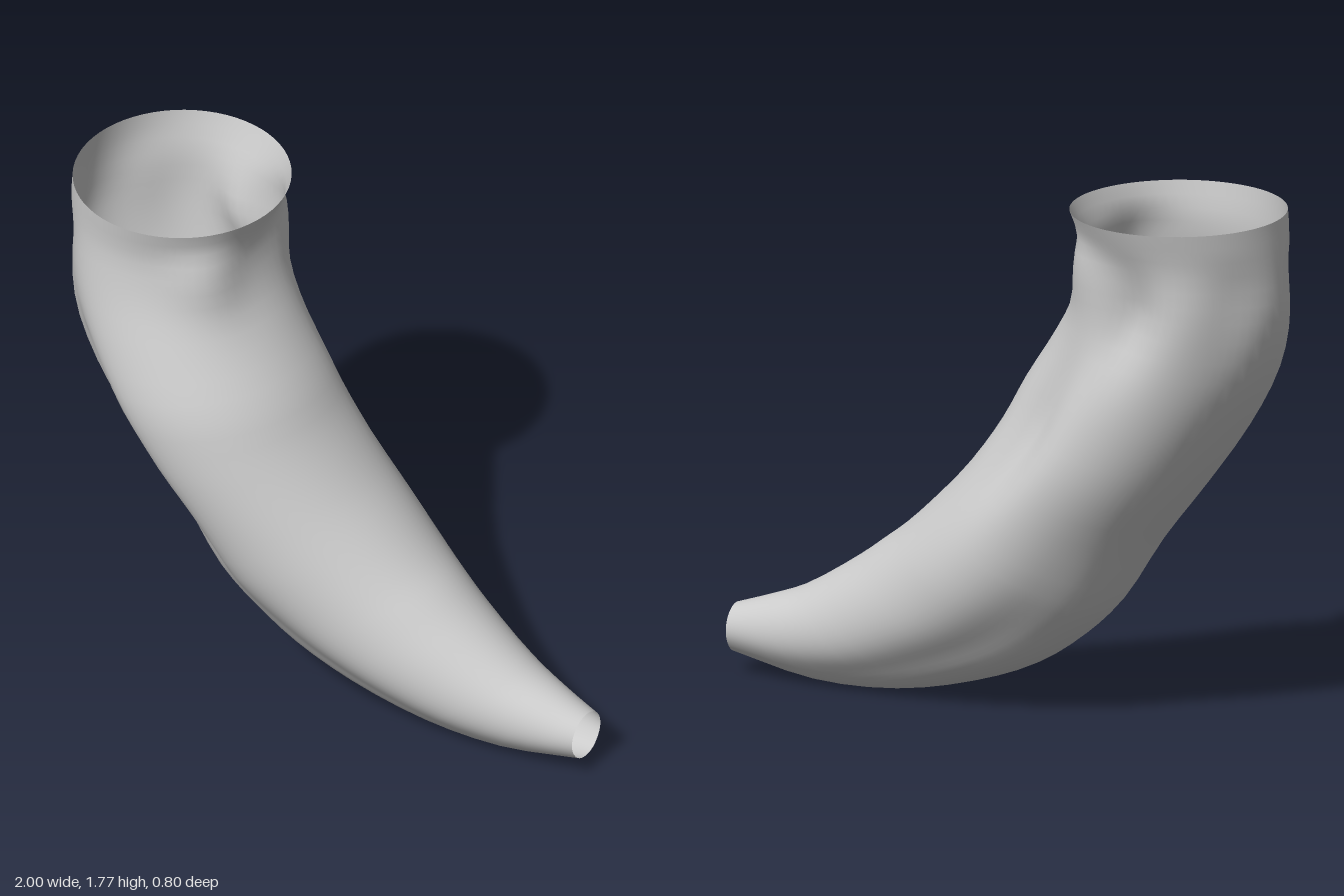
import * as THREE from 'three';

// Cross-sections from the wide mouth to the tip:
// outer edge x, y, inner edge x, y, front z, back z
const SECTIONS = [
  [-0.98, 1.76, -0.26, 1.76, 0.325, -0.405],
  [-0.995, 1.6, -0.31, 1.63, 0.31, -0.365],
  [-1.0, 1.43, -0.28, 1.48, 0.33, -0.37],
  [-0.94, 1.22, -0.19, 1.32, 0.37, -0.375],
  [-0.82, 1.0, -0.08, 1.15, 0.40, -0.39],
  [-0.68, 0.8, 0.0, 1.0, 0.385, -0.40],
  [-0.53, 0.6, 0.12, 0.83, 0.35, -0.39],
  [-0.39, 0.38, 0.24, 0.70, 0.315, -0.37],
  [-0.27, 0.26, 0.36, 0.585, 0.28, -0.345],
  [-0.11, 0.15, 0.45, 0.515, 0.25, -0.315],
  [0.11, 0.065, 0.55, 0.44, 0.215, -0.28],
  [0.39, 0.005, 0.75, 0.315, 0.155, -0.225],
  [0.69, 0.0, 0.88, 0.265, 0.10, -0.175],
  [1.0, 0.06, 1.0, 0.225, 0.043, -0.123],
];

// Soft hollows (negative depth swells): section, angle, length, angular width, depth
const DENTS = [
  [4.8, 2.28, 1.7, 0.26, 0.085],   // long front groove
  [4.6, -0.96, 1.5, 0.3, 0.07],    // back groove on the inner curve
  [2.1, -1.43, 0.9, 0.3, 0.06],    // hollow at the back of the neck
  [1.4, 0.65, 0.9, 0.35, -0.045],  // swelling at the front of the neck
  [1.3, -0.65, 0.9, 0.35, -0.045], // swelling at the back of the neck
  [1.6, 2.6, 0.9, 0.35, 0.025],    // outer neck, front
  [1.8, -2.45, 0.9, 0.35, 0.025],  // outer neck, back
  [9, 2.15, 2.5, 0.4, 0.03],       // flattened lower front
  [9, -2.15, 2.5, 0.4, 0.03],      // flattened lower back
];

const STEPS = 3;   // rings per section
const SIDES = 64;

function dentAt(s, a) {
  let d = 0;
  for (const [ds, da, len, wid, depth] of DENTS) {
    const u = (s - ds) / len;
    const v = Math.atan2(Math.sin(a - da), Math.cos(a - da)) / wid;
    d += depth * Math.exp(-u * u - v * v);
  }
  return d * Math.min(1, s); // keeps the mouth rim round
}

function createHornGeometry() {
  const last = SECTIONS.length - 1;
  const curve = (k) => new THREE.CatmullRomCurve3(
    SECTIONS.map((r) => new THREE.Vector3(r[k], r[k + 1], 0)), false, 'centripetal');
  const outer = curve(0), inner = curve(2), depth = curve(4);
  const pos = [], index = [];
  const rings = last * STEPS;

  for (let i = 0; i <= rings; i++) {
    const t = i / rings;
    const o = outer.getPoint(t), n = inner.getPoint(t), z = depth.getPoint(t);
    const mid = o.clone().add(n).multiplyScalar(0.5);
    const half = n.clone().sub(o).multiplyScalar(0.5);
    const zMid = (z.x + z.y) / 2, zHalf = (z.x - z.y) / 2;
    for (let j = 0; j < SIDES; j++) {
      const a = (j / SIDES) * Math.PI * 2;
      const r = 1 - dentAt(t * last, a) / zHalf;
      const c = Math.cos(a) * r;
      pos.push(mid.x + half.x * c, mid.y + half.y * c, zMid + zHalf * Math.sin(a) * r);
      if (i < rings) {
        const p = i * SIDES + j, q = i * SIDES + (j + 1) % SIDES;
        index.push(p, q, p + SIDES, q, q + SIDES, p + SIDES);
      }
    }
  }
  const g = new THREE.BufferGeometry();
  g.setAttribute('position', new THREE.Float32BufferAttribute(pos, 3));
  g.setIndex(index);
  g.computeVertexNormals();
  return g;
}

export function createModel() {
  const group = new THREE.Group();
  group.name = 'curvedHorn';
  // Thin curved shell, open at both ends
  const shell = new THREE.Mesh(
    createHornGeometry(),
    new THREE.MeshStandardMaterial({ color: 0xcccccc, side: THREE.DoubleSide }));
  shell.name = 'hornShell';
  group.add(shell);
  return group;
}
